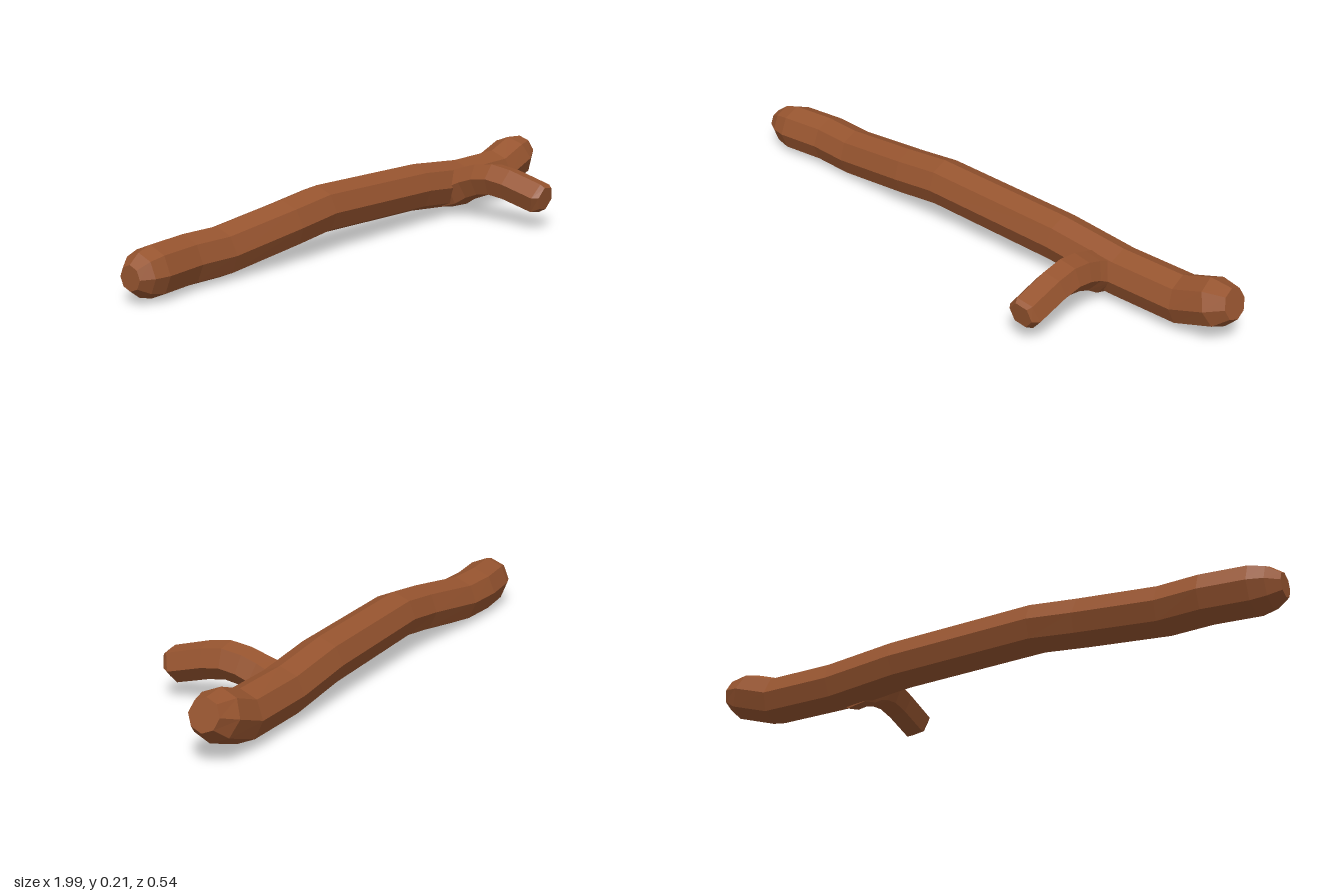
import * as THREE from 'three';

const bark = new THREE.MeshStandardMaterial({ color: 0x96542f, flatShading: true });

// Closed tube along +x. Each ring is [x, y, z, radius, tilt]; tilt leans the ring's top towards -x.
function loft(name, rings, sides, phase = 0) {
  const positions = [];
  const index = [];
  const last = rings.length - 1;
  for (const [x, y, z, r, tilt] of rings) {
    for (let j = 0; j < sides; j++) {
      const a = phase + (j / sides) * Math.PI * 2;
      const up = r * Math.sin(a);
      positions.push(x - up * Math.sin(tilt), y + up * Math.cos(tilt), z + r * Math.cos(a));
    }
  }
  const at = (i, j) => i * sides + (j % sides);
  for (let i = 0; i < last; i++) {
    for (let j = 0; j < sides; j++) {
      index.push(at(i, j), at(i + 1, j), at(i + 1, j + 1));
      index.push(at(i, j), at(i + 1, j + 1), at(i, j + 1));
    }
  }
  // Flat end caps
  for (let j = 1; j < sides - 1; j++) {
    index.push(at(0, 0), at(0, j), at(0, j + 1));
    index.push(at(last, 0), at(last, j + 1), at(last, j));
  }
  const geometry = new THREE.BufferGeometry();
  geometry.setAttribute('position', new THREE.Float32BufferAttribute(positions, 3));
  geometry.setIndex(index);
  const flat = geometry.toNonIndexed();
  flat.computeVertexNormals();
  const mesh = new THREE.Mesh(flat, bark);
  mesh.name = name;
  return mesh;
}

export function createModel() {
  const model = new THREE.Group();
  model.name = 'stick';

  // Main stick: eight-sided, gently bent, with tapered ends
  model.add(loft('mainStick', [
    [-1.0, 0.088, -0.166, 0.04, 0],
    [-0.96, 0.088, -0.17, 0.068, 0],
    [-0.91, 0.088, -0.173, 0.081, 0],
    [-0.76, 0.088, -0.188, 0.081, 0],
    [-0.62, 0.087, -0.18, 0.081, 0.06],
    [-0.34, 0.122, -0.16, 0.081, 0.11],
    [-0.18, 0.14, -0.158, 0.081, 0.04],
    [0.32, 0.125, -0.158, 0.081, -0.06],
    [0.56, 0.1, -0.158, 0.081, -0.05],
    [0.8, 0.099, -0.158, 0.081, 0.13],
    [0.92, 0.14, -0.157, 0.08, 0.4],
    [0.98, 0.158, -0.157, 0.051, 0.29],
  ], 8));

  // Side branch: six-sided, arching out to the front
  const branch = loft('sideBranch', [
    [-0.15, 0.085, 0, 0.068, 0.1],
    [-0.092, 0.104, 0, 0.068, 0.2],
    [-0.053, 0.124, 0, 0.061, 0.3],
    [-0.005, 0.141, 0, 0.06, 0.2],
    [0.053, 0.15, 0, 0.06, -0.03],
    [0.12, 0.141, 0, 0.059, -0.18],
    [0.24, 0.11, 0, 0.058, -0.27],
    [0.261, 0.112, 0, 0.043, -0.18],
  ], 6, THREE.MathUtils.degToRad(10));
  branch.rotation.y = -Math.PI / 2;
  branch.position.x = 0.505;
  model.add(branch);

  return model;
}
